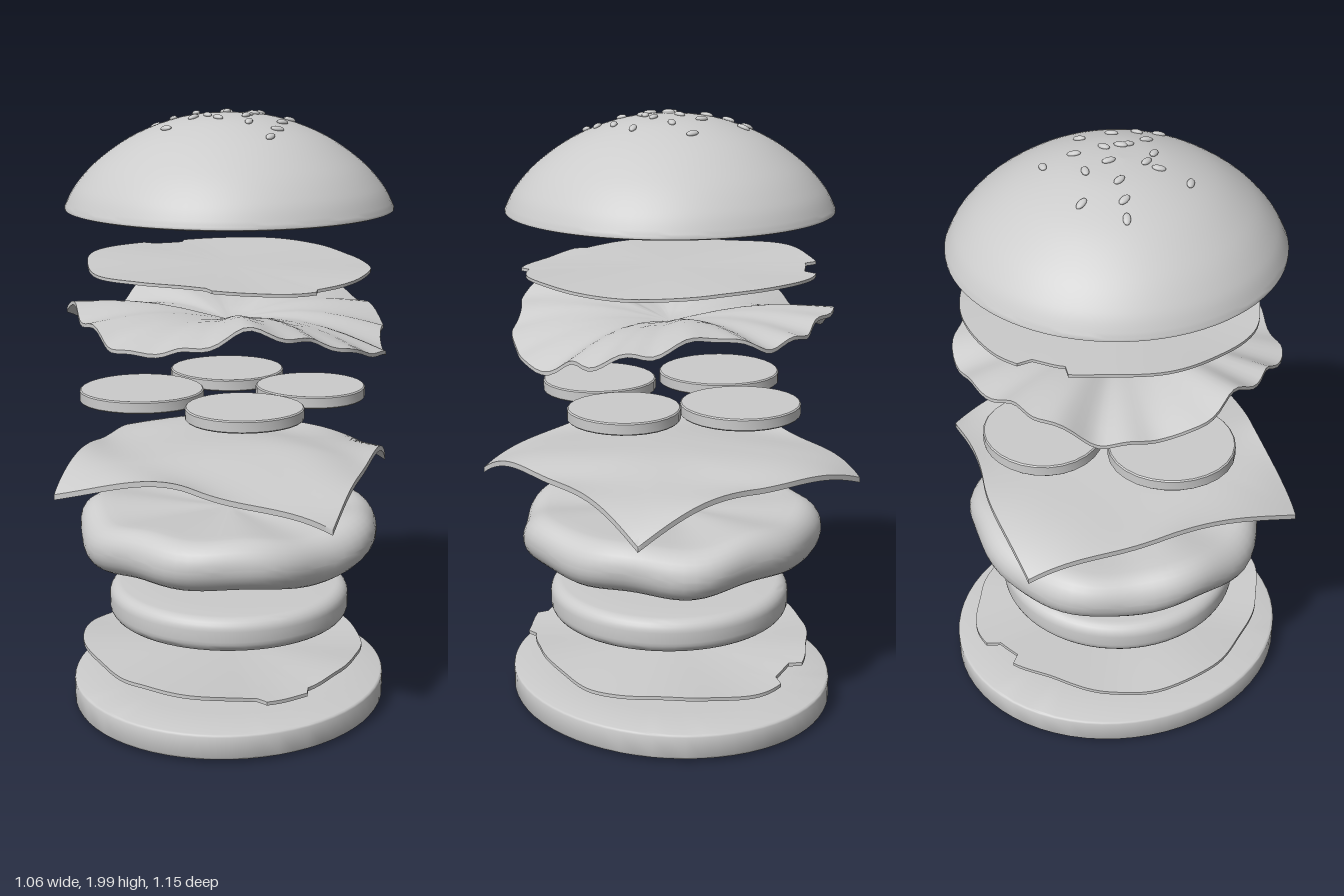
import * as THREE from 'three';
import { mergeVertices, toCreasedNormals } from 'three/addons/utils/BufferGeometryUtils.js';

const V2 = (p) => new THREE.Vector2(p[0], p[1]);

// Moves every vertex by a rule, then welds and smooths, keeping hard edges
function reshape(geometry, rule, crease = 0.9) {
  geometry.deleteAttribute('uv');
  geometry.deleteAttribute('normal');
  const pos = geometry.attributes.position;
  const v = new THREE.Vector3();
  for (let i = 0; i < pos.count; i++) {
    v.fromBufferAttribute(pos, i);
    rule(v);
    pos.setXYZ(i, v.x, v.y, v.z);
  }
  return toCreasedNormals(mergeVertices(geometry, 1e-4), crease);
}

// Turned shape, profile listed from bottom centre to top centre
function turned(profile, segments, rule = () => {}, crease = 0.9) {
  return reshape(new THREE.LatheGeometry(profile.map(V2), segments), rule, crease);
}

// Profile of a disc with rounded corners
function discProfile(r, y0, y1, round, steps = 4, rings = [0, 0.35, 0.7]) {
  const pts = rings.map((k) => [k * (r - round), y0]);
  for (let i = 0; i <= steps; i++) {
    const a = (i / steps) * Math.PI / 2;
    pts.push([r - round + round * Math.sin(a), y0 + round - round * Math.cos(a)]);
  }
  for (let i = 0; i <= steps; i++) {
    const a = (i / steps) * Math.PI / 2;
    pts.push([r - round + round * Math.cos(a), y1 - round + round * Math.sin(a)]);
  }
  return pts.concat(rings.map((k) => [k * (r - round), y1]).reverse());
}

// Thin round sheet: outline(angle) scales the radius, height(r, angle) lifts it
function sheet(thickness, outline, height, segments = 128) {
  const rings = [0, 0.15, 0.3, 0.45, 0.6, 0.75, 0.88, 1];
  const profile = [...rings.map((r) => [r, 0]), ...rings.map((r) => [r, thickness]).reverse()];
  return turned(profile, segments, (v) => {
    const r = Math.hypot(v.x, v.z);
    const a = Math.atan2(v.z, v.x) + 1e-5;
    const s = outline(a);
    v.set(v.x * s, v.y + height(r, a), v.z * s);
  });
}

// Smooth periodic lookup in a list of values around the circle
function around(values) {
  const n = values.length;
  return (a) => {
    const t = ((a / (2 * Math.PI)) % 1 + 1) % 1 * n;
    const i = Math.floor(t) % n, f = t - Math.floor(t);
    const k = f * f * (3 - 2 * f);
    return values[i] * (1 - k) + values[(i + 1) % n] * k;
  };
}

export function createModel() {
  const model = new THREE.Group();
  const material = new THREE.MeshStandardMaterial({ color: 0xcccccc });
  const add = (name, geometry, parent = model) => {
    const mesh = new THREE.Mesh(geometry, material);
    mesh.name = name;
    parent.add(mesh);
    return mesh;
  };

  // Bottom bun: slightly oval slab
  const slab = discProfile(0.525, 0.01, 0.095, 0.008, 2);
  slab[0][1] = 0;
  add('bottomBun', turned(slab, 64, (v) => { v.z *= 1.1; }));

  // Lower sauce with torn tabs along its rim
  const lowerRim = around([0.44, 0.45, 0.47, 0.5, 0.53, 0.5, 0.48, 0.5, 0.5, 0.48, 0.47, 0.5, 0.52, 0.49, 0.47, 0.46]);
  add('lowerSauce', sheet(0.012,
    (a) => lowerRim(a) + (a > 0.75 && a < 1.1 ? 0.03 : 0) - (a > -2 && a < -1.75 ? 0.04 : 0),
    (r, a) => 0.18 + r * (-0.014 * Math.cos(a) + 0.004 * Math.sin(a)) + 0.009 * r * r * Math.sin(5 * a)));

  // Thick rounded slice
  add('thickSlice', turned(discProfile(0.405, 0.3, 0.415, 0.04, 6), 64, (v) => { v.z += 0.005; }));

  // Patty with an uneven surface
  add('patty', turned(discProfile(0.5, 0.52, 0.69, 0.083, 7, [0, 0.25, 0.5, 0.75, 0.9]), 80, (v) => {
    const a = Math.atan2(v.z, v.x), r = Math.hypot(v.x, v.z) / 0.5;
    const s = 1 + 0.014 * Math.sin(5 * a + 1) + 0.012 * Math.sin(9 * a + v.y * 9);
    v.y += r * (0.008 * Math.sin(7 * a) + 0.008 * Math.sin(4 * a + 2)) - (v.y > 0.6 ? 0.02 * (1 - r) : 0);
    v.x *= s;
    v.z *= s;
  }, 1.2));

  // Square cheese slice with drooping corners and a rippled edge
  add('cheese', reshape(new THREE.BoxGeometry(2, 0.018, 2, 36, 1, 36), (v) => {
    const x = v.x, z = v.z, corner = Math.abs(x * z);
    const droop = 0.105 + 0.02 * x - 0.005 * z;
    const edge = Math.max(Math.abs(x), Math.abs(z));
    v.y += 0.875 - droop * corner ** 1.6
      + 0.02 * edge * edge * (1 - corner) * Math.sin(4 * (x - z) + 1)
      + 0.012 * Math.sin(3 * x + 1) * Math.cos(4 * z);
    const pinch = 1 - 0.04 * corner ** 3;
    const bow = 0.025 * Math.sin(Math.PI * x) * Math.sin(Math.PI * z + 1);
    v.x = x * 0.47 * pinch + bow * (1 - corner);
    v.z = z * 0.475 * pinch + 0.008 - bow * (1 - corner);
  }, 1));

  // Four tomato slices: x, z, radius
  const tomatoes = new THREE.Group();
  tomatoes.name = 'tomatoSlices';
  model.add(tomatoes);
  for (const [x, z, r] of [[-0.275, 0.09, 0.205], [0.115, 0.25, 0.19], [0.255, -0.1, 0.182], [-0.08, -0.275, 0.195]]) {
    const slice = add('tomatoSlice', turned(discProfile(r, 0, 0.04, 0.004, 1), 28, (v) => {
      const s = 1 + 0.012 * Math.sin(3 * Math.atan2(v.z, v.x) + x * 20);
      v.x *= s;
      v.z *= s;
    }, 0.6), tomatoes);
    slice.position.set(x, 1.045, z);
  }

  // Ruffled lettuce leaf, rim heights listed around the circle
  const rim = around([1.22, 1.26, 1.32, 1.37, 1.3, 1.28, 1.33, 1.37, 1.29, 1.28, 1.36, 1.33, 1.32, 1.37, 1.32, 1.27]);
  add('lettuce', sheet(0.012,
    (a) => 0.515 + 0.012 * Math.sin(7 * a) + 0.008 * Math.sin(13 * a + 1),
    (r, a) => 1.3 + (rim(a) - 1.3) * r ** 1.4 + 0.035 * Math.sin(Math.PI * r)
      + 0.009 * r ** 3 * Math.sin(17 * a)));

  // Upper sauce with torn tabs
  const upperRim = around([0.46, 0.47, 0.46, 0.43, 0.43, 0.45, 0.47, 0.46, 0.47, 0.46, 0.48, 0.5, 0.5, 0.49, 0.47, 0.46]);
  add('upperSauce', sheet(0.01,
    (a) => upperRim(a) + (a > 0.7 && a < 1.45 ? 0.03 : 0) - (a > -2.5 && a < -2.2 ? 0.04 : 0),
    (r, a) => 1.487 + r * (-0.013 * Math.cos(a) - 0.008 * Math.sin(a)) + 0.006 * r * r * Math.sin(4 * a + 1)));

  // Top bun: flat underside and a domed crown
  const crown = new THREE.SplineCurve([[0.53, 1.69], [0.495, 1.755], [0.42, 1.835], [0.3, 1.915], [0.15, 1.969], [0, 1.985]].map(V2));
  const dome = crown.getPoints(30).map((p) => [Math.max(p.x, 0), p.y]);
  add('topBun', turned([[0, 1.67], [0.25, 1.675], [0.515, 1.677], [0.53, 1.682], ...dome], 80));

  // Sesame seeds: x, z, turn
  const seeds = [
    [0.07, -0.21, 0], [-0.165, -0.165, 1], [-0.04, -0.112, 0.1], [0.075, -0.11, 2], [-0.265, -0.06, 0.3],
    [-0.2, -0.045, 1], [-0.12, -0.033, 1], [-0.015, -0.03, 1.5], [0.075, -0.015, 2.6], [0.185, -0.057, 2.4],
    [0.07, 0.037, 2.2], [0.185, 0.047, 2.2], [-0.05, 0.077, 0.9], [-0.09, 0.102, 2], [-0.005, 0.117, 0.7],
    [0.098, 0.13, 1.5], [0.19, 0.132, 2.6], [-0.157, 0.178, 0.5], [0.185, 0.203, 1.8], [0.07, 0.058, 1.7],
  ];
  const seedShape = new THREE.SphereGeometry(1, 12, 8);
  const seedGroup = new THREE.Group();
  seedGroup.name = 'sesameSeeds';
  model.add(seedGroup);
  const up = new THREE.Vector3(0, 1, 0);
  for (const [x, z, turn] of seeds) {
    const r = Math.hypot(x, z);
    const i = Math.max(1, dome.findIndex((p) => p[0] <= r));
    const [a, b] = [dome[i - 1], dome[i]];
    const slope = (b[1] - a[1]) / (b[0] - a[0]);
    const seed = add('sesameSeed', seedShape, seedGroup);
    seed.scale.set(0.022, 0.008, 0.012);
    seed.position.set(x, a[1] + slope * (r - a[0]) + 0.003, z);
    const normal = new THREE.Vector3(-slope * x / r, 1, -slope * z / r).normalize();
    seed.quaternion.setFromUnitVectors(up, normal)
      .multiply(new THREE.Quaternion().setFromAxisAngle(up, -turn));
  }
  return model;
}
